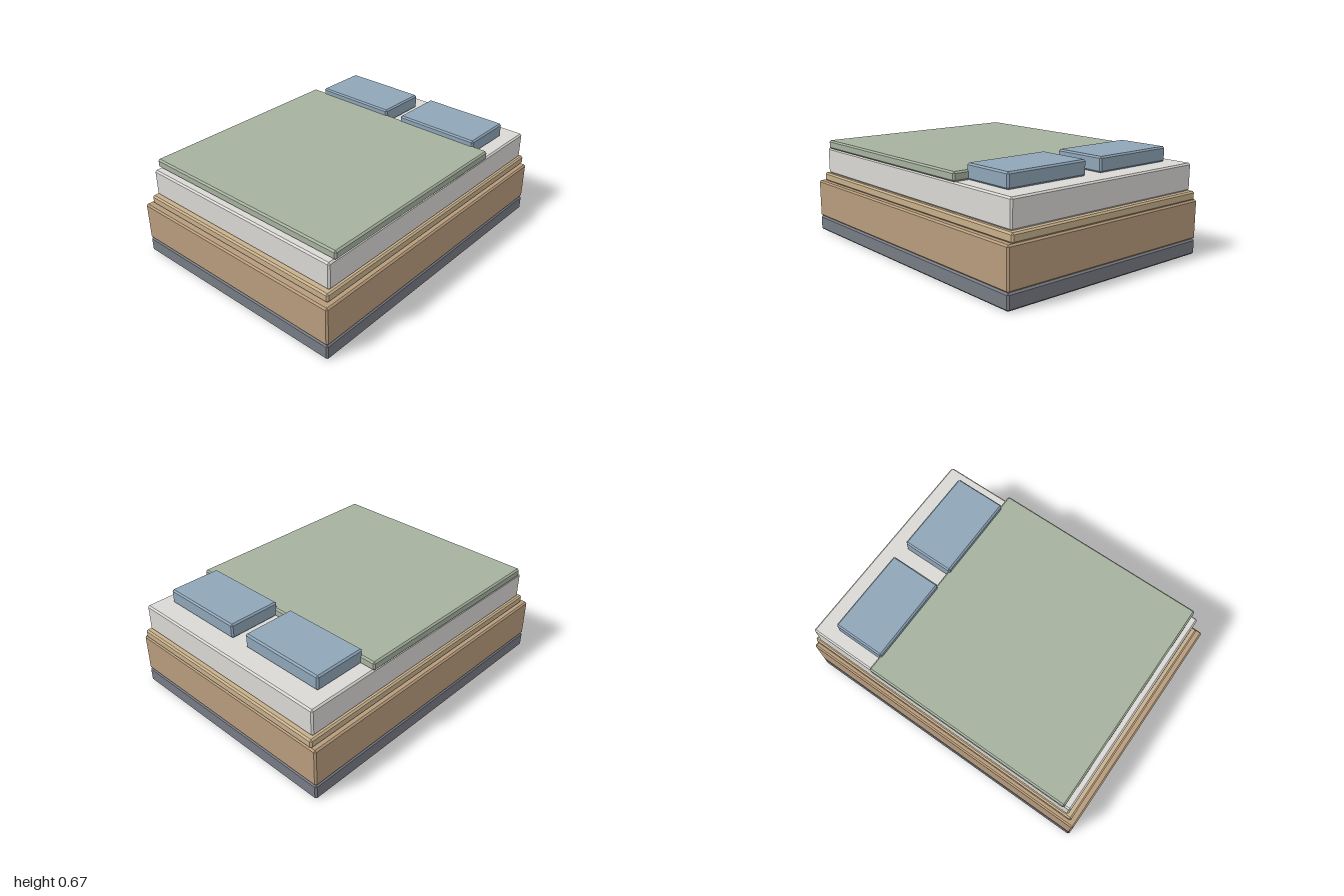
import * as THREE from 'three';
import { ConvexGeometry } from 'three/addons/geometries/ConvexGeometry.js';

// Box with every edge and corner chamfered by c
function chamferBox(w, h, d, c) {
  const half = [w / 2, h / 2, d / 2];
  const points = [];
  for (const sx of [-1, 1]) for (const sy of [-1, 1]) for (const sz of [-1, 1]) {
    for (let outer = 0; outer < 3; outer++) {
      const [x, y, z] = half.map((v, i) => (i === outer ? v : v - c));
      points.push(new THREE.Vector3(sx * x, sy * y, sz * z));
    }
  }
  return new ConvexGeometry(points);
}

export function createModel() {
  const bed = new THREE.Group();
  bed.name = 'bed';

  // Slab given by its extents along each axis
  function addSlab(name, color, [x0, x1], [y0, y1], [z0, z1], chamfer = 0.01) {
    const mesh = new THREE.Mesh(
      chamferBox(x1 - x0, y1 - y0, z1 - z0, chamfer),
      new THREE.MeshStandardMaterial({ color })
    );
    mesh.position.set((x0 + x1) / 2, (y0 + y1) / 2, (z0 + z1) / 2);
    mesh.name = name;
    bed.add(mesh);
  }

  // Stacked layers, from the floor up
  addSlab('plinth', 0x777b84, [-0.76, 0.76], [0, 0.098], [-1, 1]);
  addSlab('frame', 0xb89c7d, [-0.76, 0.76], [0.098, 0.347], [-1, 1]);
  addSlab('platform', 0xc8b08c, [-0.732, 0.732], [0.347, 0.404], [-1, 0.963]);
  addSlab('mattress', 0xdad8d4, [-0.716, 0.716], [0.404, 0.576], [-0.972, 0.932]);
  addSlab('blanket', 0xa6b19f, [-0.726, 0.726], [0.576, 0.633], [-0.515, 0.893]);

  // Pillows, mirrored about the middle
  addSlab('leftPillow', 0x8fa5b8, [0.058, 0.627], [0.576, 0.67], [-0.842, -0.497]);
  addSlab('rightPillow', 0x8fa5b8, [-0.627, -0.058], [0.576, 0.67], [-0.842, -0.497]);

  return bed;
}
